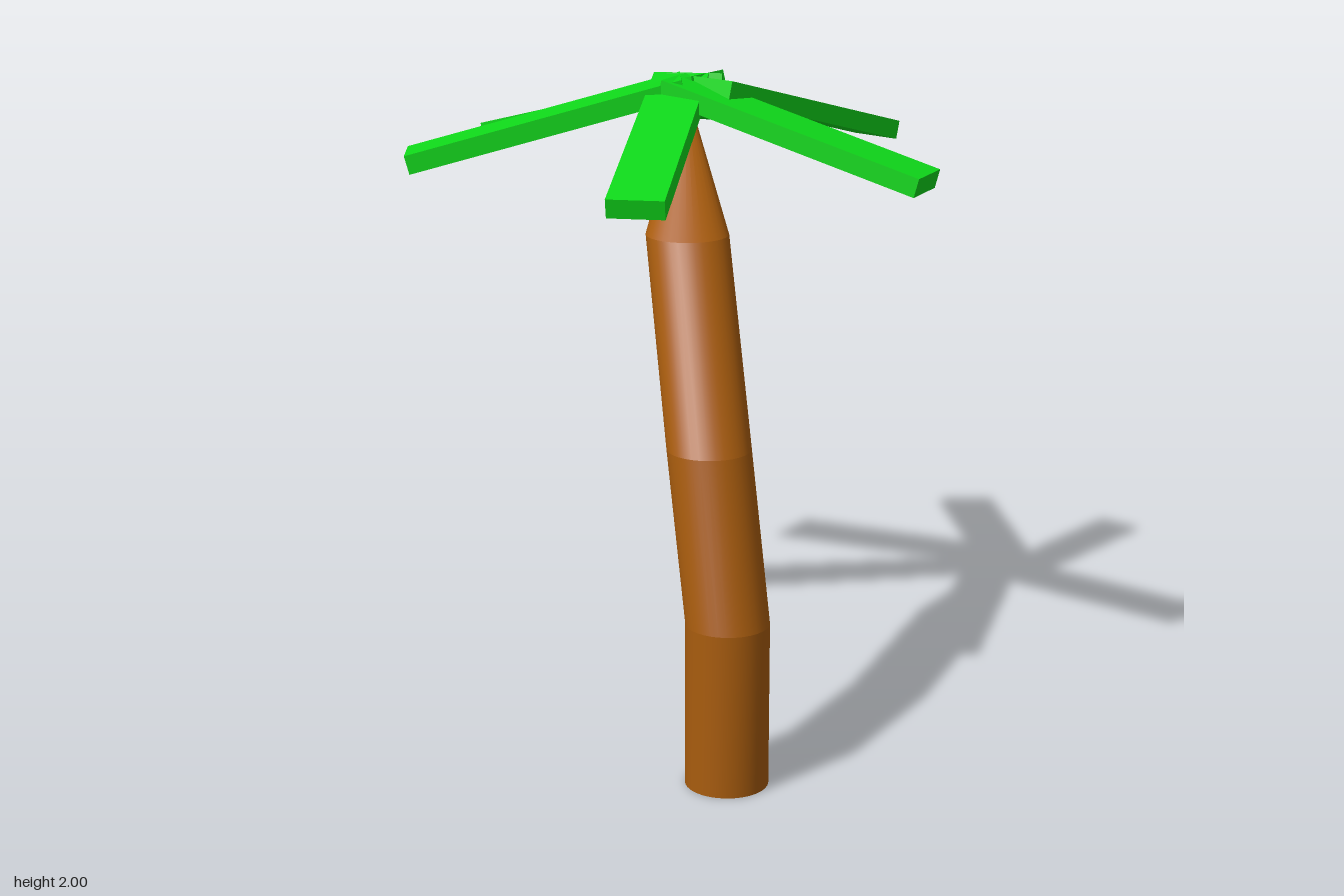
import * as THREE from 'three';
import { toCreasedNormals } from 'three/addons/utils/BufferGeometryUtils.js';

const bark = new THREE.MeshStandardMaterial({ color: 0xa85c0e });
const green = new THREE.MeshStandardMaterial({ color: 0x0fd81a });

// Trunk section between two level rings [x, y, z, radius], sheared to lean
function trunkSection(a, b, open) {
  const h = b[1] - a[1];
  const geo = new THREE.CylinderGeometry(b[3], a[3], h, 32, 1, open);
  geo.translate(0, h / 2, 0);
  const p = geo.attributes.position;
  for (let i = 0; i < p.count; i++) {
    const t = p.getY(i) / h;
    p.setXYZ(i,
      p.getX(i) + THREE.MathUtils.lerp(a[0], b[0], t),
      p.getY(i) + a[1],
      p.getZ(i) + THREE.MathUtils.lerp(a[2], b[2], t));
  }
  return new THREE.Mesh(toCreasedNormals(geo, 0.5), bark);
}

// Flat plank frond whose top face runs from the crown down to its tip
function frond([x0, z0], [x1, z1]) {
  const top = new THREE.Vector3(x0, 1.998, z0);
  const tip = new THREE.Vector3(x1, 1.766, z1);
  const geo = new THREE.BoxGeometry(0.172, 0.06, top.distanceTo(tip));
  geo.translate(0, -0.03, 0);
  const mesh = new THREE.Mesh(geo, green);
  mesh.position.copy(top).lerp(tip, 0.5);
  mesh.lookAt(tip);
  return mesh;
}

export function createModel() {
  const model = new THREE.Group();

  // Leaning trunk, tapering to a point under the crown
  const trunk = new THREE.Group();
  trunk.name = 'trunk';
  const rings = [
    [0.2, 0, 0.79, 0.125],
    [0.2, 0.505, 0.79, 0.125],
    [0.14, 1.0, 0.658, 0.126],
    [0.063, 1.57, 0.317, 0.126],
    [0.045, 1.96, -0.045, 0],
  ];
  for (let i = 0; i < rings.length - 1; i++) {
    const section = trunkSection(rings[i], rings[i + 1], i > 0);
    section.name = 'trunkSection' + (i + 1);
    trunk.add(section);
  }
  model.add(trunk);

  // Crown: inner and outer end of each frond as [x, z]
  const crown = new THREE.Group();
  crown.name = 'crown';
  const ends = [
    [[0.07, -0.062], [0.096, -0.912]],
    [[0.125, 0.04], [0.665, -0.615]],
    [[0.01, 0.007], [0.783, 0.355]],
    [[0.03, -0.07], [-0.07, 0.777]],
    [[0.03, -0.005], [-0.82, 0.05]],
    [[0.11, -0.065], [-0.597, -0.535]],
  ];
  ends.forEach(([inner, outer], i) => {
    const leaf = frond(inner, outer);
    leaf.name = 'frond' + (i + 1);
    crown.add(leaf);
  });
  model.add(crown);

  return model;
}
